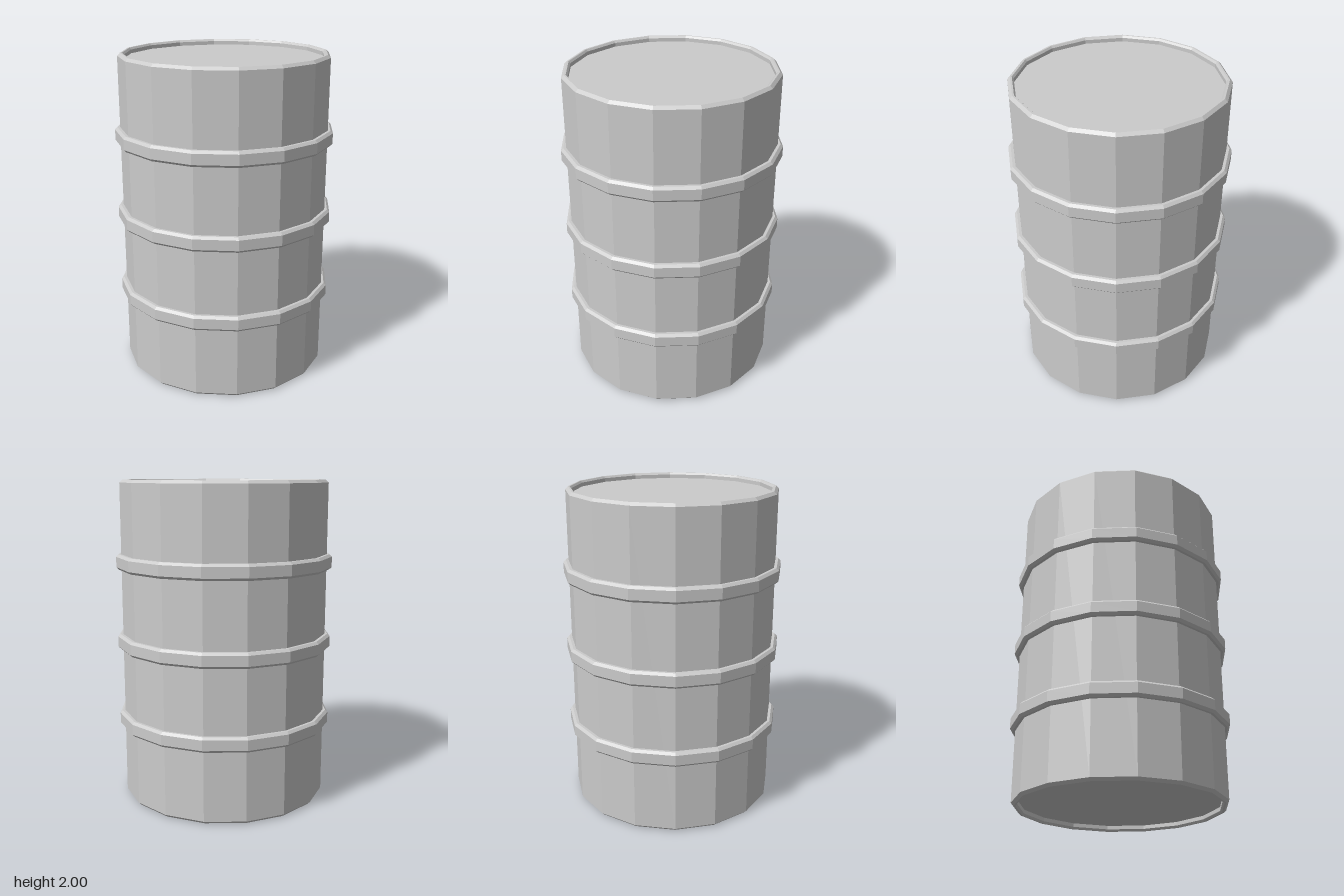
import * as THREE from 'three';

const SIDES = 16;

// Revolve a profile of [radius, height] pairs into a faceted solid
function revolve(name, profile, material) {
  const points = profile.map(([r, y]) => new THREE.Vector2(r, y));
  const mesh = new THREE.Mesh(new THREE.LatheGeometry(points, SIDES), material);
  mesh.name = name;
  return mesh;
}

export function createModel() {
  const drum = new THREE.Group();
  drum.name = 'drum';
  const metal = new THREE.MeshStandardMaterial({ color: 0xcccccc, flatShading: true });

  // Barrel wall with bevelled rims standing proud of the end plates
  const R = 0.645, bevel = 0.017, inner = 0.607, recess = 0.035;
  drum.add(revolve('barrelWall', [
    [inner, recess], [inner, 0.012], [inner + 0.01, 0], [R - bevel, 0], [R, bevel],
    [R, 2 - bevel], [R - bevel, 2], [inner + 0.01, 2], [inner, 1.988], [inner, 2 - recess],
  ], metal));

  // Recessed end plates
  drum.add(revolve('bottomPlate', [[0, recess], [inner, recess]], metal));
  drum.add(revolve('lid', [[inner, 2 - recess], [0, 2 - recess]], metal));

  // Three raised hoops around the wall
  const hoopR = 0.677, half = 0.047, chamfer = 0.015;
  ['lowerHoop', 'middleHoop', 'upperHoop'].forEach((name, i) => {
    const hoop = revolve(name, [
      [R - 0.01, -half], [hoopR - chamfer, -half], [hoopR, -half + chamfer],
      [hoopR, half - chamfer], [hoopR - chamfer, half], [R - 0.01, half],
    ], metal);
    hoop.position.y = 0.503 + i * 0.5;
    drum.add(hoop);
  });

  return drum;
}
